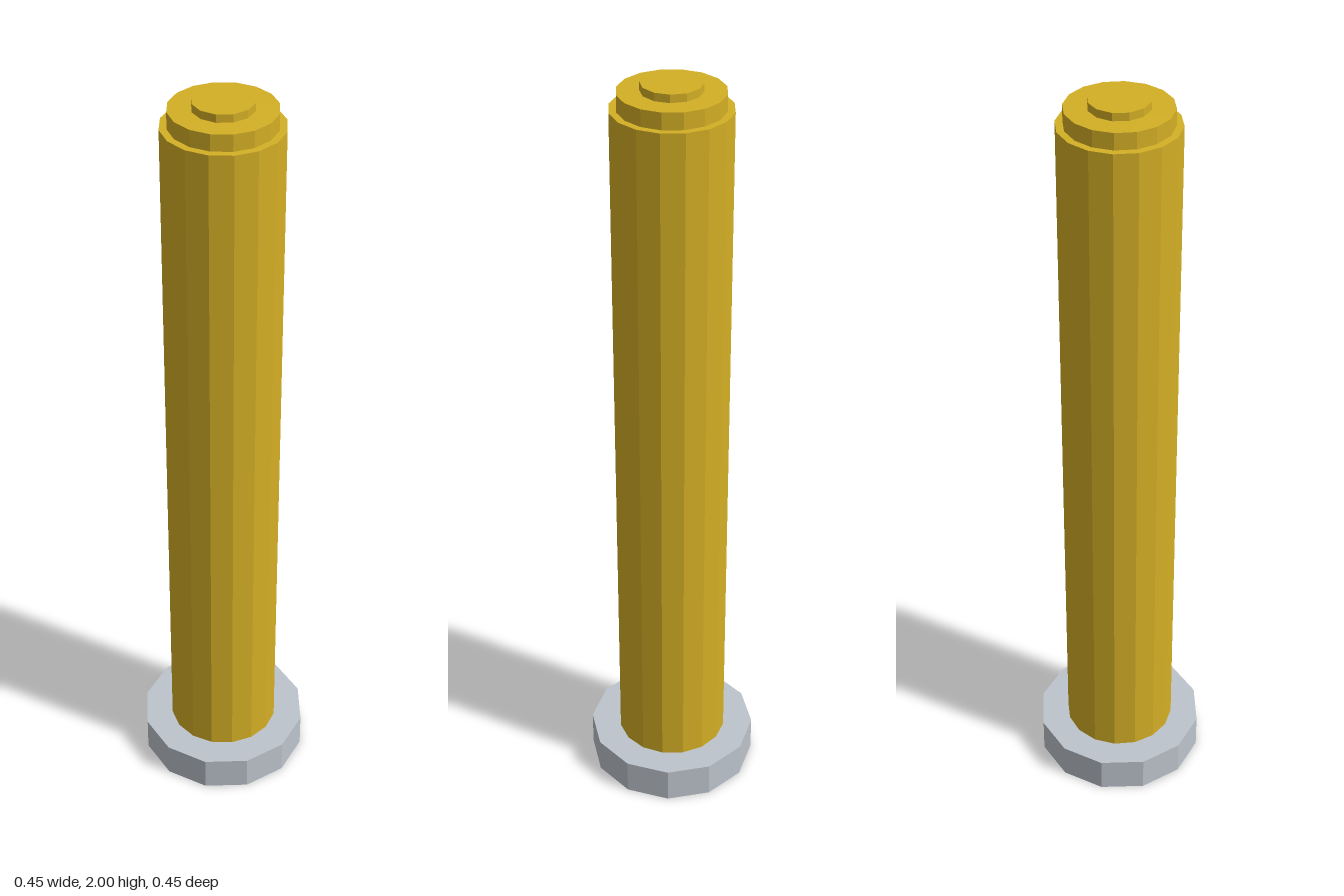
import * as THREE from 'three';

export function createModel() {
  const model = new THREE.Group();
  const yellow = new THREE.MeshStandardMaterial({ color: 0xd4af25 });
  yellow.name = 'golden yellow';
  const grey = new THREE.MeshStandardMaterial({ color: 0xbdc4cc });
  grey.name = 'light grey';
  yellow.flatShading = grey.flatShading = true;

  // Upright faceted disc or column between two heights
  function addColumn(name, radius, bottom, top, sides, material) {
    const geometry = new THREE.CylinderGeometry(radius, radius, top - bottom, sides);
    const mesh = new THREE.Mesh(geometry, material);
    mesh.name = name;
    mesh.position.y = (bottom + top) / 2;
    model.add(mesh);
  }

  addColumn('base', 0.225, 0, 0.097, 12, grey);
  addColumn('post', 0.147, 0.097, 1.938, 16, yellow);
  // Stepped top
  addColumn('collar', 0.129, 1.938, 1.98, 16, yellow);
  addColumn('cap', 0.074, 1.98, 2, 12, yellow);

  return model;
}
